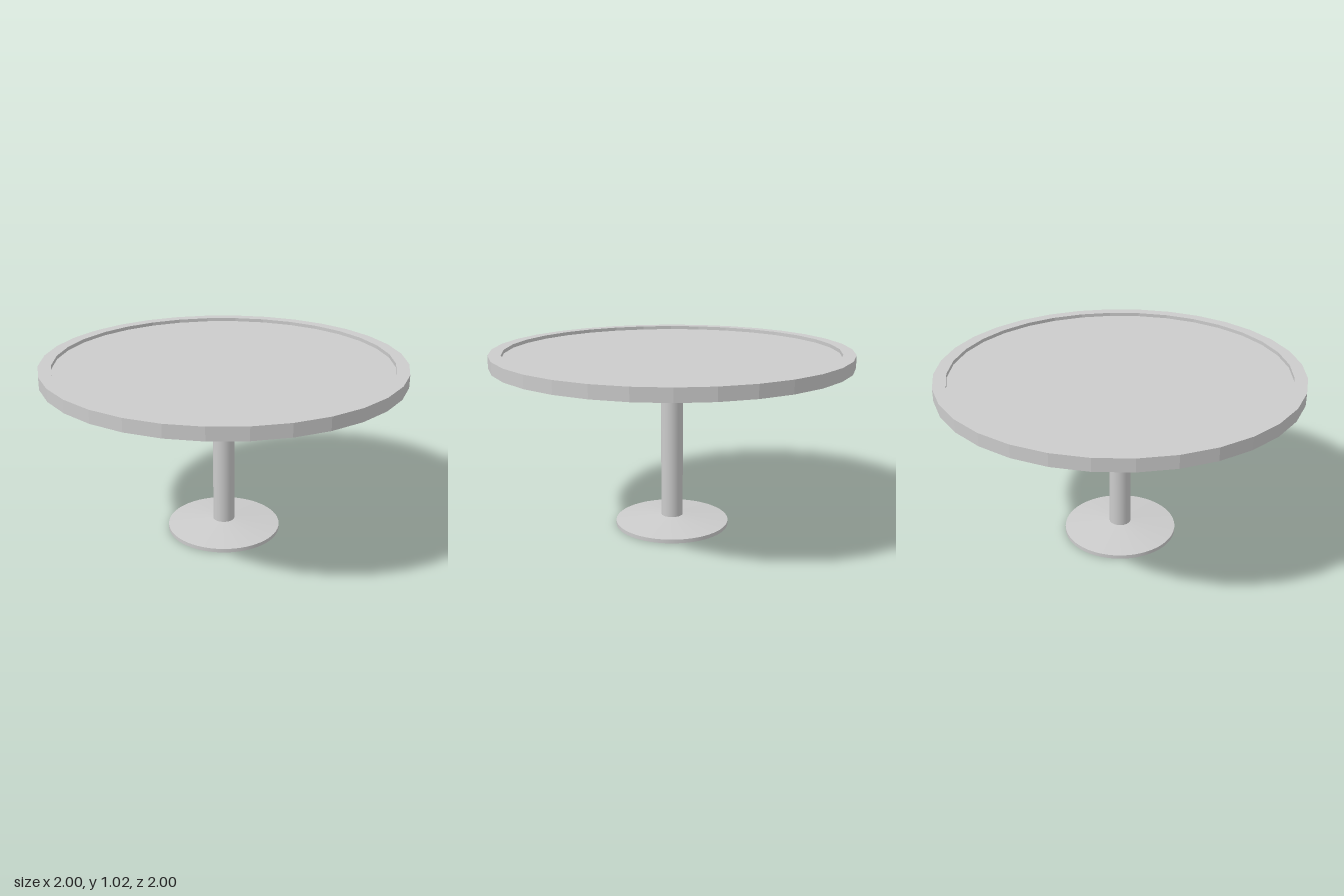
import * as THREE from 'three';

const SIDES = 32;

export function createModel() {
  const table = new THREE.Group();
  table.name = 'pedestalTable';
  const faceted = new THREE.MeshStandardMaterial({ color: 0xcccccc, flatShading: true });
  const smooth = new THREE.MeshStandardMaterial({ color: 0xcccccc });

  const add = (name, geometry, material) => {
    const mesh = new THREE.Mesh(geometry, material);
    mesh.name = name;
    table.add(mesh);
  };
  // Turned solid from [radius, height] pairs, listed from the bottom outwards and up
  const turned = (profile, sides = SIDES) =>
    new THREE.LatheGeometry(profile.map(([r, y]) => new THREE.Vector2(r, y)), sides);
  // Upright cylinder or cone between two heights
  const drum = (rTop, rBottom, y0, y1, sides = SIDES, open = false) =>
    new THREE.CylinderGeometry(rTop, rBottom, y1 - y0, sides, 1, open).translate(0, (y0 + y1) / 2, 0);

  // Raised rim around the top
  add('rim', turned([[0.93, 0.95], [1, 0.95], [1, 1.02], [0.93, 1.02], [0.93, 0.95]]), faceted);

  // Recessed top panel and the shallow cone below it
  add('topPanel', turned([[0.93, 0.972], [0.93, 1], [0, 1]]), faceted);
  add('underCone', drum(0.93, 0.16, 0.84, 0.972, SIDES, true), smooth);

  // Hub and column
  add('hub', drum(0.162, 0.162, 0.775, 0.84), smooth);
  add('column', drum(0.062, 0.062, 0.045, 0.78), smooth);

  // Foot: thin disc with a gently sloping upper face
  add('footDisc', drum(0.325, 0.325, 0, 0.022, 64), smooth);
  add('footSlope', drum(0.062, 0.325, 0.022, 0.052, 64, true), smooth);

  return table;
}
